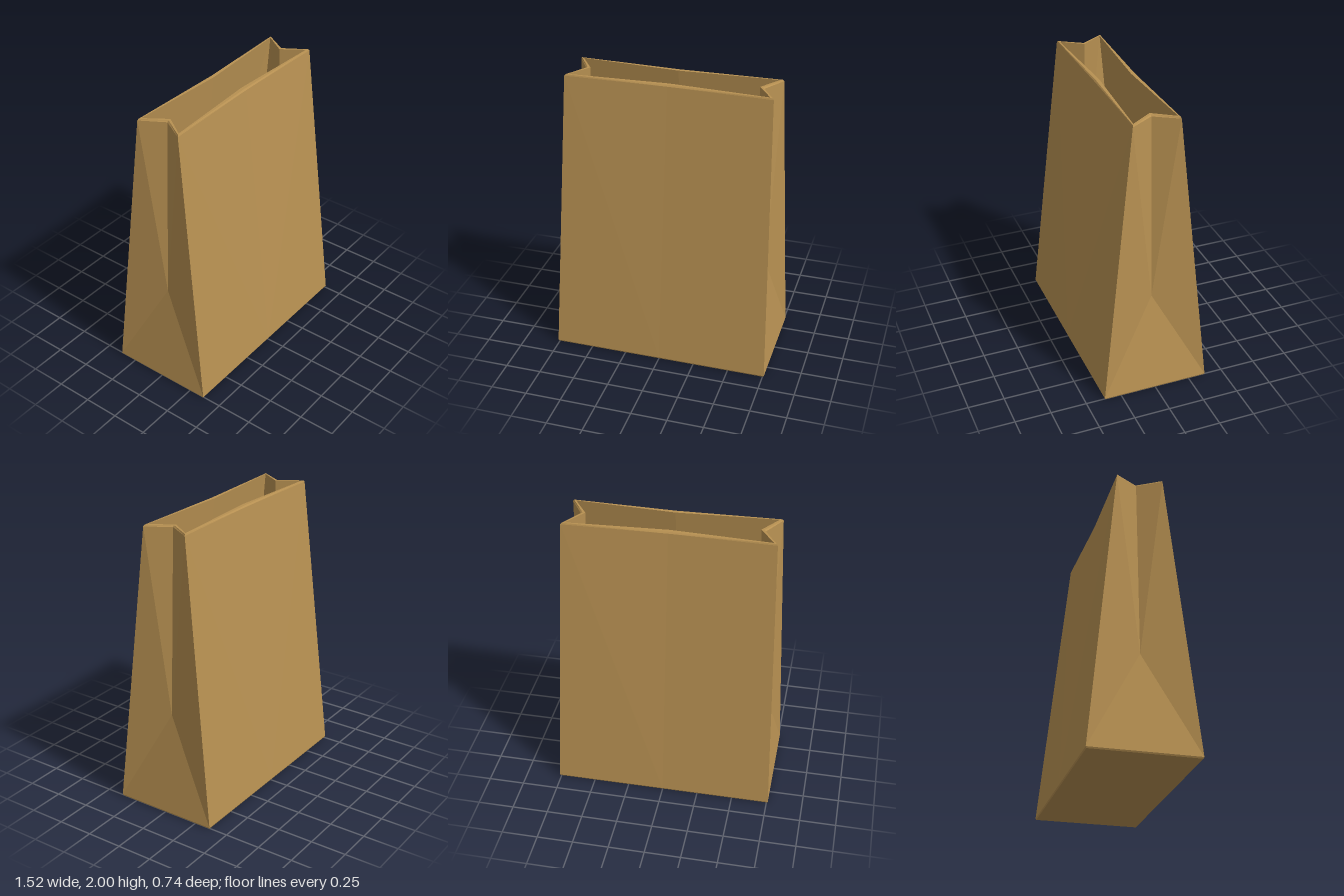
import * as THREE from 'three';

// Turns faces of one quarter (+x, +z) into a mesh mirrored over all four quarters.
function quarterMesh(name, faces, material) {
  const pos = [];
  for (const sx of [1, -1]) for (const sz of [1, -1]) {
    for (const face of faces) {
      const f = sx * sz > 0 ? face : [...face].reverse();
      // keep the fan start at the same corner so creases mirror too
      const p = sx * sz > 0 ? f : [f[f.length - 1], ...f.slice(0, -1)];
      for (let i = 1; i < p.length - 1; i++) {
        for (const [x, y, z] of [p[0], p[i], p[i + 1]]) pos.push(x * sx, y, z * sz);
      }
    }
  }
  const g = new THREE.BufferGeometry();
  g.setAttribute('position', new THREE.Float32BufferAttribute(pos, 3));
  g.computeVertexNormals(); // unshared corners keep the folds sharp
  const mesh = new THREE.Mesh(g, material);
  mesh.name = name;
  return mesh;
}

// Quarter outline: middle of the front, corner, middle of the side.
const outline = (y, mz, cx, cz, sx) => [[0, y, mz], [cx, y, cz], [sx, y, 0]];

// Strip between two quarter outlines.
const strip = (lo, hi) => [0, 1].map((i) => [lo[i], lo[i + 1], hi[i + 1], hi[i]]);

// Front panel and folded side gusset with its triangular foot.
function walls([m, a, b], [tm, t, f], gusset) {
  return {
    panel: [[m, a, t, tm]],
    gusset: [[a, b, gusset], [a, gusset, t], [gusset, f, t]],
  };
}
const flip = (faces) => faces.map(([p, ...rest]) => [p, ...rest.reverse()]);

export function createModel() {
  const bag = new THREE.Group();
  bag.name = 'paperBag';
  const paper = new THREE.MeshStandardMaterial({ color: 0xb89152 });
  paper.name = 'kraft paper';

  // outlines from the underside, up the outside, over the rim and down inside
  const under = outline(0, 0.365, 0.755, 0.365, 0.755);
  const base = outline(0.01, 0.37, 0.76, 0.37, 0.76);
  const lip = outline(1.99, 0.145, 0.7, 0.16, 0.605);
  const rimOut = outline(2, 0.137, 0.692, 0.156, 0.595);
  const rimIn = outline(2, 0.112, 0.675, 0.147, 0.575);
  const floor = outline(0.03, 0.345, 0.735, 0.345, 0.735);

  const outer = walls(base, lip, [0.66, 0.7, 0]);
  const inner = walls(floor, rimIn, [0.63, 0.7, 0]);
  const add = (name, faces) => bag.add(quarterMesh(name, faces, paper));

  add('outerPanels', outer.panel);
  add('outerGussets', outer.gusset);
  add('innerPanels', flip(inner.panel));
  add('innerGussets', flip(inner.gusset));
  add('rim', [...strip(lip, rimOut), ...strip(rimOut, rimIn)]);
  add('baseEdge', strip(under, base));
  add('underside', [[[0, 0, 0], under[2], under[1], under[0]]]);
  add('insideFloor', [[[0, 0.03, 0], ...floor]]);
  return bag;
}
